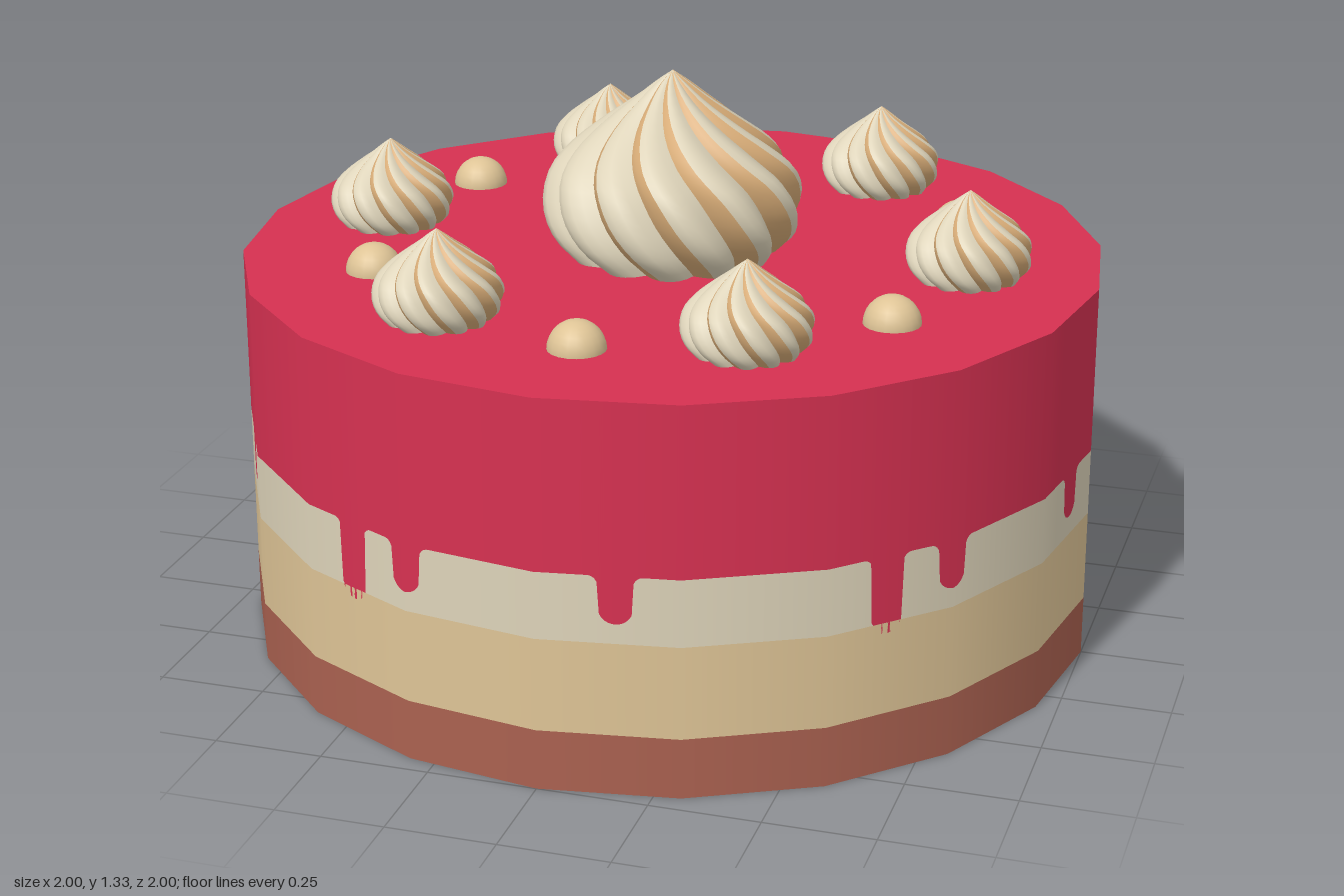
import * as THREE from 'three';
import { mergeGeometries } from 'three/addons/utils/BufferGeometryUtils.js';

const flat = (name, color) => {
  const m = new THREE.MeshStandardMaterial({ color });
  m.name = name;
  return m;
};
const RAD = Math.PI / 180;
const TOP = 0.9, EDGE = 0.51, SIDE = 18; // degrees per cake facet

// Point and smooth normal on the 20-sided wall at an angle in degrees from +z
function wallPoint(deg) {
  const k = Math.floor(deg / SIDE + 1e-6), t = deg / SIDE - k;
  const a = k * SIDE * RAD, b = (k + 1) * SIDE * RAD;
  return [
    Math.sin(a) * (1 - t) + Math.sin(b) * t,
    Math.cos(a) * (1 - t) + Math.cos(b) * t,
  ];
}

// Height of the icing's lower edge: three rounded drips, repeated every 72 degrees
const DRIPS = [[10, 0.4], [44.4, 0.33], [54, 0.4]];
function icingEdge(deg) {
  const r = 0.038, f = 0.022;
  let y = EDGE;
  for (const [centre, bottom] of DRIPS) {
    const d = Math.abs((deg % 72) - centre) * RAD;
    if (d < r) y = bottom + r - Math.sqrt(r * r - d * d);
    else if (d < r + f) y = EDGE - f + Math.sqrt(f * f - (r + f - d) ** 2);
  }
  return y;
}

// Wall band between two heights, each a function of the angle
function band(low, high, step) {
  const pos = [], nor = [], index = [];
  const n = Math.round(360 / step);
  for (let i = 0; i <= n; i++) {
    const deg = i * step, [x, z] = wallPoint(deg);
    const l = Math.hypot(x, z);
    pos.push(x, low(deg), z, x, high(deg), z);
    nor.push(x / l, 0, z / l, x / l, 0, z / l);
    if (i < n) {
      const a = i * 2;
      index.push(a, a + 2, a + 1, a + 1, a + 2, a + 3);
    }
  }
  const g = new THREE.BufferGeometry();
  g.setAttribute('position', new THREE.Float32BufferAttribute(pos, 3));
  g.setAttribute('normal', new THREE.Float32BufferAttribute(nor, 3));
  g.setIndex(index);
  return g;
}

// Piped swirl: lobed cross-sections turned with height; [from, to] picks the strip of each lobe
const LOBES = 12, SEGS = 6, ROWS = 22, TWIST = 80 * RAD;
const PROFILE = new THREE.CatmullRomCurve3([
  [0.8, 0], [0.95, 0.13], [1, 0.28], [0.94, 0.45], [0.78, 0.58],
  [0.55, 0.71], [0.3, 0.84], [0.12, 0.94], [0, 1],
].map(([r, y]) => new THREE.Vector3(r * 0.3, y * 0.43, 0)));

function swirlStrips(from, to) {
  const strips = [];
  for (let lobe = 0; lobe < LOBES; lobe++) {
    const pos = [], index = [], w = to - from + 1;
    for (let j = 0; j <= ROWS; j++) {
      const t = j / ROWS, p = PROFILE.getPoint(t);
      for (let s = from; s <= to; s++) {
        const a = ((lobe + s / SEGS) / LOBES) * Math.PI * 2 - TWIST * t;
        const r = p.x * (0.86 + 0.15 * Math.sin((Math.PI * s) / SEGS));
        pos.push(Math.sin(a) * r, p.y, Math.cos(a) * r);
        if (j < ROWS && s < to) {
          const q = j * w + s - from;
          index.push(q, q + 1, q + w, q + w, q + 1, q + w + 1);
        }
      }
    }
    const g = new THREE.BufferGeometry();
    g.setAttribute('position', new THREE.Float32BufferAttribute(pos, 3));
    g.setIndex(index);
    g.computeVertexNormals();
    strips.push(g);
  }
  return mergeGeometries(strips);
}

export function createModel() {
  const cake = new THREE.Group();
  cake.name = 'cake';
  const red = flat('raspberry icing', 0xd63151);
  const cream = flat('cream', 0xddd3b9);
  const tan = flat('sponge', 0xdec496);
  const brown = flat('biscuit', 0xaa6150);
  const caramel = flat('caramel', 0xd9ad78);

  const add = (parent, name, geometry, material) => {
    const m = new THREE.Mesh(geometry, material);
    m.name = name;
    parent.add(m);
    return m;
  };
  const at = (y) => () => y;

  // Layers of the wall
  add(cake, 'biscuitLayer', band(at(0), at(0.14), SIDE), brown);
  add(cake, 'spongeLayer', band(at(0.14), at(0.355), SIDE), tan);
  add(cake, 'creamLayer', band(at(0.355), icingEdge, 0.25), cream);
  add(cake, 'drippingIcing', band(icingEdge, at(TOP), 0.25), red);

  // Top and underside
  const disc = new THREE.CircleGeometry(1, 20);
  const top = add(cake, 'icingTop', disc, red);
  top.rotation.x = -Math.PI / 2;
  top.position.y = TOP;
  add(cake, 'underside', disc, red).rotation.x = Math.PI / 2;

  // One large swirl in the middle, six small ones around it
  const caramelStrips = swirlStrips(0, 2), creamStrips = swirlStrips(2, SEGS);
  const swirl = (name, x, z, scale) => {
    const g = new THREE.Group();
    g.name = name;
    add(g, 'caramelStripes', caramelStrips, caramel);
    add(g, 'creamStripes', creamStrips, cream);
    g.position.set(x, TOP, z);
    g.scale.setScalar(scale);
    cake.add(g);
  };
  swirl('centreSwirl', 0, 0, 1);

  // Small swirls alternate with half-sunk balls
  const ball = new THREE.SphereGeometry(0.065, 20, 14);
  for (let i = 0; i < 6; i++) {
    const a = i * 60 * RAD, b = a + 30 * RAD;
    swirl('smallSwirl', Math.cos(a) * 0.7, Math.sin(a) * 0.7, 0.48);
    add(cake, 'ball', ball, tan)
      .position.set(Math.cos(b) * 0.7, TOP, Math.sin(b) * 0.7);
  }
  return cake;
}
